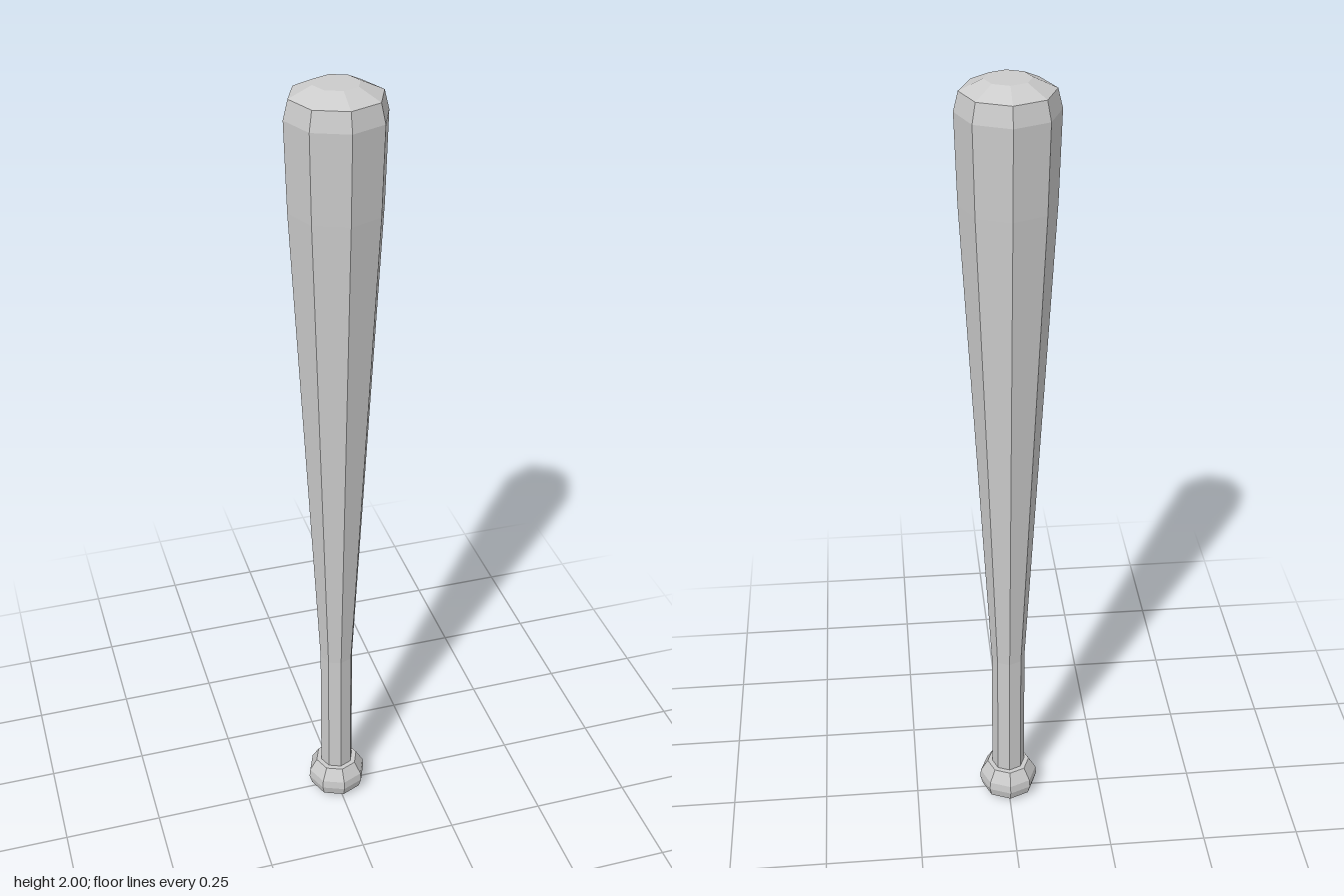
import * as THREE from 'three';

const SIDES = 8;

// Eight-sided turned part from [radius, height] pairs, listed bottom to top
function turned(name, profile, material) {
  const points = profile.map(([r, y]) => new THREE.Vector2(r, y));
  const mesh = new THREE.Mesh(new THREE.LatheGeometry(points, SIDES), material);
  mesh.name = name;
  return mesh;
}

export function createModel() {
  const group = new THREE.Group();
  group.name = 'bat';
  const material = new THREE.MeshStandardMaterial({ color: 0xcccccc, flatShading: true });

  group.add(
    // Rounded knob at the foot of the grip
    turned('knob', [[0, 0], [0.053, 0], [0.07, 0.015], [0.077, 0.04], [0.075, 0.062], [0.056, 0.095], [0.043, 0.095]], material),
    // Slim straight grip
    turned('handle', [[0.043, 0.095], [0.043, 0.46]], material),
    // Long tapering barrel with a bevelled, slightly domed end
    turned('barrel', [[0.043, 0.46], [0.111, 1.72], [0.117, 1.93], [0.106, 1.975], [0.053, 2], [0, 2]], material),
  );
  return group;
}
